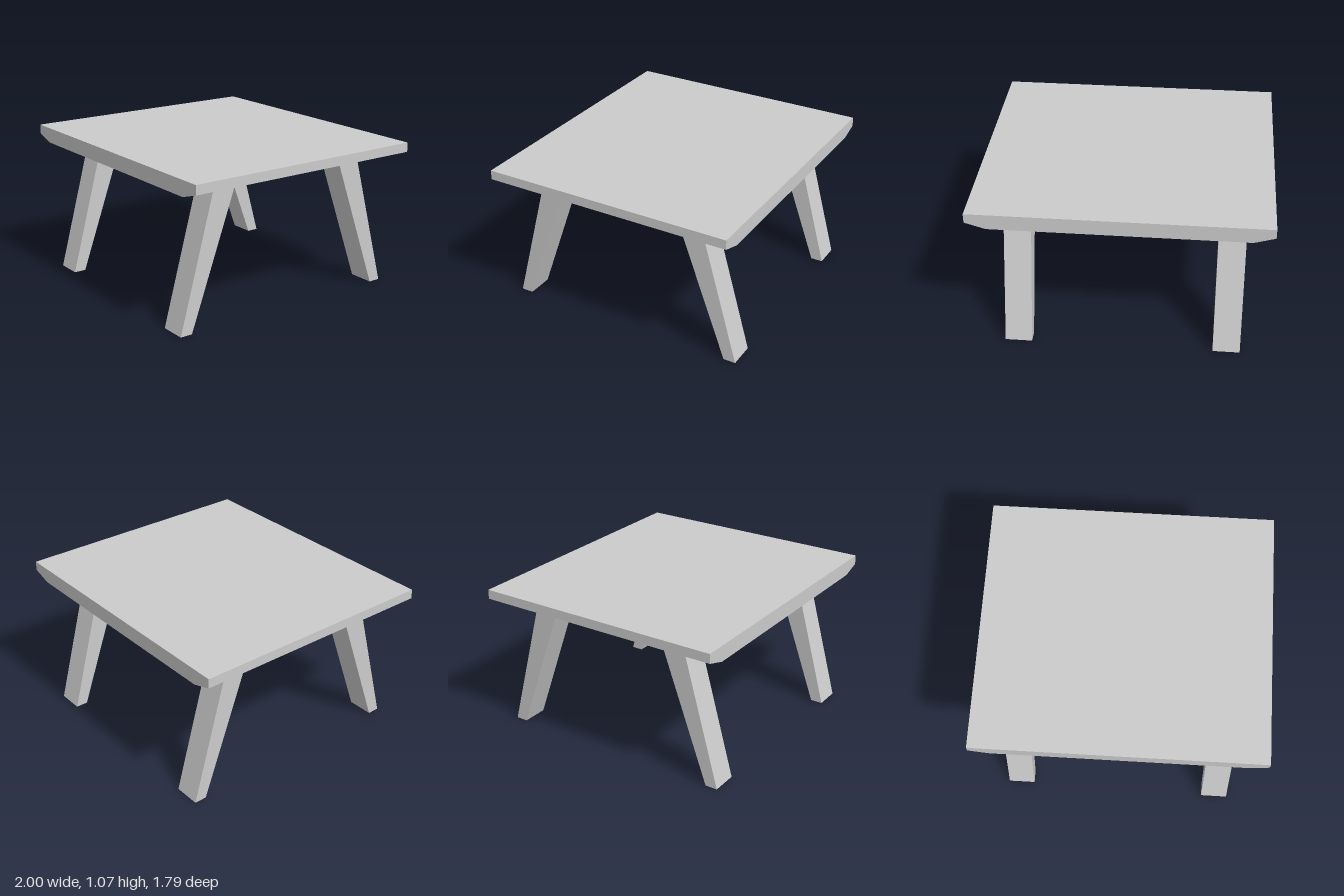
import * as THREE from 'three';

const material = new THREE.MeshStandardMaterial({ color: 0xcccccc, flatShading: true });

// Straight prism: a profile in the XY plane, extruded and centred along Z
function prism(points, depth) {
  const shape = new THREE.Shape(points.map(([x, y]) => new THREE.Vector2(x, y)));
  const geometry = new THREE.ExtrudeGeometry(shape, { depth, bevelEnabled: false });
  return geometry.translate(0, 0, -depth / 2);
}

export function createModel() {
  const group = new THREE.Group();
  group.name = 'table';

  const underside = 0.957;

  // Table top, undercut along both short ends
  const top = new THREE.Mesh(prism([
    [-0.86, underside], [0.86, underside], [1, 1], [1, 1.066],
    [-1, 1.066], [-1, 1],
  ], 1.787), material);
  top.name = 'tableTop';
  group.add(top);

  // Tapered leg profile: x is the distance from the middle, splayed outwards
  const legGeometry = prism([
    [0.79, 0], [0.877, 0], [0.613, underside], [0.442, underside],
  ], 0.186).rotateY(-Math.PI / 2);

  // Legs, slightly unevenly placed: name, x centre, inward shift, facing
  const legs = [
    ['frontLeftLeg', 0.706, 0, 0],
    ['frontRightLeg', -0.731, 0.027, 0],
    ['backLeftLeg', 0.704, 0, Math.PI],
    ['backRightLeg', -0.734, 0.003, Math.PI],
  ];
  for (const [name, x, inward, turn] of legs) {
    const leg = new THREE.Mesh(legGeometry, material);
    leg.name = name;
    leg.rotation.y = turn;
    leg.position.set(x, 0, turn ? inward : -inward);
    group.add(leg);
  }

  return group;
}
